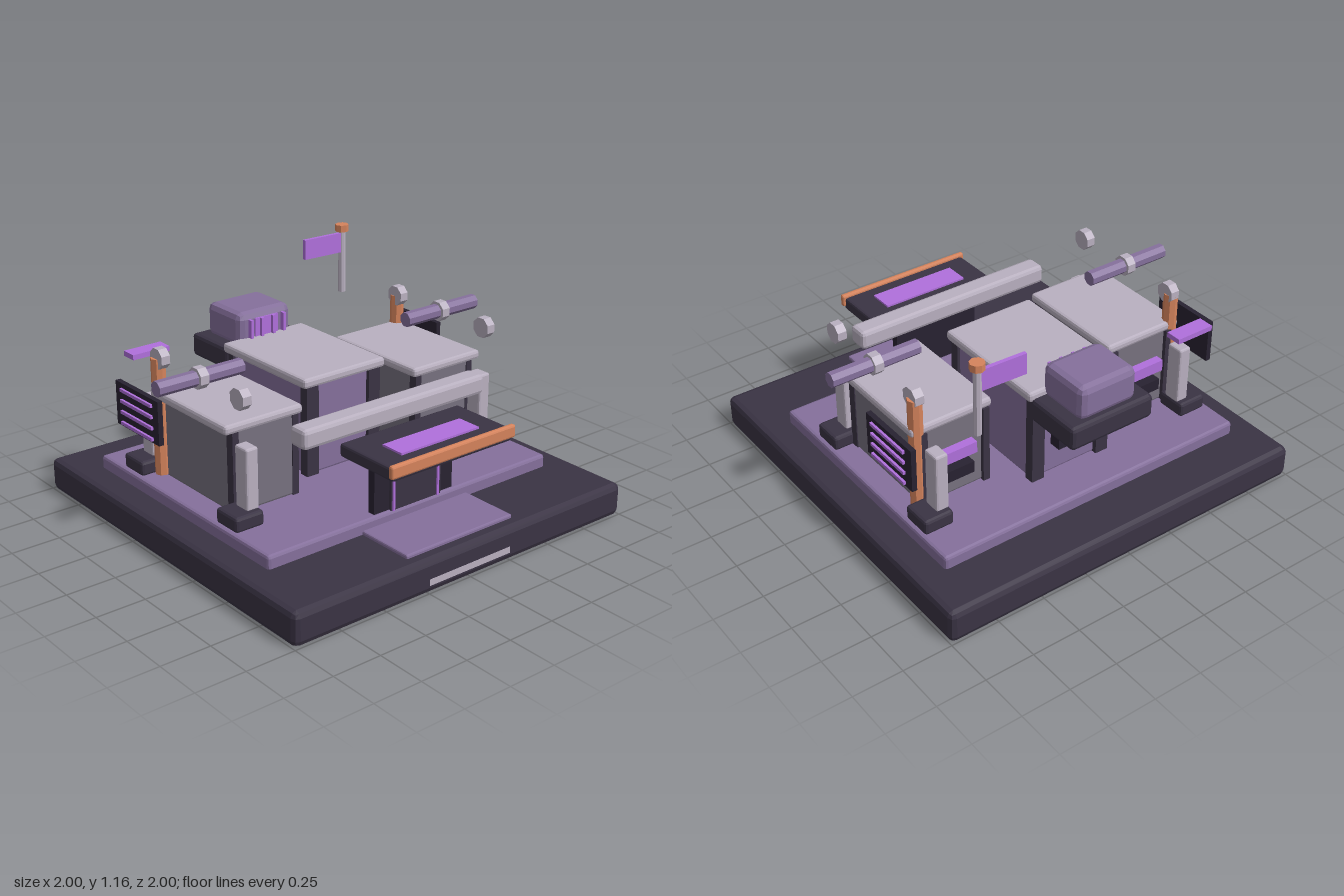
import * as THREE from 'three';
import { RoundedBoxGeometry } from 'three/addons/geometries/RoundedBoxGeometry.js';

const material = (color) => new THREE.MeshStandardMaterial({ color, flatShading: true });
const DARK = material(0x3a3344), BLACK = material(0x282231), PURPLE = material(0x85709c);
const LIGHT = material(0xb9b0c0), GREY = material(0x77717f);
const ORANGE = material(0xd5835c), GLOW = material(0xb070dc);

// Box given by its extents on each axis, with an optional bevel
function box(parent, name, mat, [x0, x1], [y0, y1], [z0, z1], bevel = 0) {
  const w = x1 - x0, h = y1 - y0, d = z1 - z0;
  const geo = bevel ? new RoundedBoxGeometry(w, h, d, 1, bevel) : new THREE.BoxGeometry(w, h, d);
  const mesh = new THREE.Mesh(geo, mat);
  mesh.name = name;
  mesh.position.set((x0 + x1) / 2, (y0 + y1) / 2, (z0 + z1) / 2);
  parent.add(mesh);
  return mesh;
}

// Upright cylinder, or one lying along x
function rod(parent, name, mat, radius, length, [x, y, z], alongX = false, sides = 8) {
  const mesh = new THREE.Mesh(new THREE.CylinderGeometry(radius, radius, length, sides), mat);
  mesh.name = name;
  mesh.position.set(x, y, z);
  if (alongX) mesh.rotation.set(Math.PI / 8, 0, Math.PI / 2);
  parent.add(mesh);
  return mesh;
}

function group(parent, name) {
  const g = new THREE.Group();
  g.name = name;
  parent.add(g);
  return g;
}

// One side wing, built on +x (s = 1) or mirrored to -x (s = -1)
function addWing(parent, s) {
  const g = group(parent, s > 0 ? 'leftWing' : 'rightWing');
  const span = (a, b) => (s > 0 ? [a, b] : [-b, -a]);

  box(g, 'wingBody', GREY, span(0.38, 0.73), [0.23, 0.65], [-0.38, 0.205], 0.012);
  box(g, 'wingRoof', LIGHT, span(0.342, 0.78), [0.635, 0.682], [-0.393, 0.22], 0.015);
  for (const z of [-0.38, 0.185])
    for (const x of [0.362, 0.7])
      box(g, 'wingCornerPost', DARK, span(x, x + 0.035), [0.23, 0.64], [z - 0.02, z + 0.025]);
  box(g, 'wingRearLight', GLOW, span(0.45, 0.665), [0.44, 0.5], [-0.425, -0.38]);
  box(g, 'wingRearVent', BLACK, span(0.47, 0.645), [0.34, 0.4], [-0.43, -0.38]);

  // Corner pylons on wide feet
  for (const z of [-0.485, 0.285]) {
    box(g, 'pylonFoot', DARK, span(0.678, 0.833), [0.225, 0.302], [z - 0.08, z + 0.08], 0.015);
    box(g, 'pylon', LIGHT, span(0.68, 0.747), [0.295, 0.6], [z - 0.045, z + 0.045], 0.01);
  }

  // Orange mast, pipe and collars
  rod(g, 'mast', ORANGE, 0.036, 0.59, [s * 0.742, 0.535, -0.368]);
  rod(g, 'pipe', PURPLE, 0.038, 0.465, [s * 0.737, 0.832, -0.035], true);
  for (const z of [-0.355, -0.035, 0.285])
    rod(g, 'collar', LIGHT, 0.053, 0.047, [s * 0.737, 0.832, z], true);

  // Outer vent panel with lit slats
  box(g, 'ventPanel', BLACK, span(0.85, 0.876), [0.48, 0.7], [-0.535, -0.175]);
  for (let i = 0; i < 4; i++) {
    const y = 0.5 + i * 0.056;
    box(g, 'ventSlat', GLOW, span(0.87, 0.888), [y - 0.008, y + 0.008], [-0.485, -0.22]);
  }
}

export function createModel() {
  const model = new THREE.Group();
  model.name = 'outpost';

  // Ground slabs
  const ground = group(model, 'ground');
  box(ground, 'baseSlab', DARK, [-1, 1], [0, 0.168], [-1, 1], 0.03);
  box(ground, 'floorPlate', PURPLE, [-0.855, 0.852], [0.15, 0.232], [-0.745, 0.628], 0.015);
  box(ground, 'doorMat', PURPLE, [-0.325, 0.322], [0.15, 0.186], [0.6, 0.93], 0.008);
  box(ground, 'frontStrip', LIGHT, [-0.25, 0.245], [0.04, 0.072], [0.97, 1.0015]);

  // Central hall
  const hall = group(model, 'hall');
  box(hall, 'hallBody', PURPLE, [-0.21, 0.21], [0.23, 0.7], [-0.52, 0.08], 0.012);
  box(hall, 'hallRoof', LIGHT, [-0.25, 0.245], [0.69, 0.74], [-0.545, 0.115], 0.015);
  for (const s of [-1, 1])
    for (const z of [-0.52, 0.075])
      box(hall, 'hallPost', DARK, [s * 0.19 - 0.035, s * 0.19 + 0.035], [0.23, 0.69], [z - 0.025, z + 0.025]);
  box(hall, 'rearLight', GLOW, [-0.12, 0.12], [0.5, 0.57], [-0.578, -0.51]);
  box(hall, 'rearVent', BLACK, [-0.1, 0.1], [0.39, 0.45], [-0.582, -0.51]);

  // Rear lookout with lit window bars
  const lookout = group(model, 'lookout');
  box(lookout, 'lookoutBase', DARK, [-0.235, 0.23], [0.588, 0.708], [-0.837, -0.53], 0.02);
  box(lookout, 'lookoutCabin', PURPLE, [-0.163, 0.158], [0.69, 0.87], [-0.802, -0.52], 0.035);
  box(lookout, 'window', GLOW, [-0.07, 0.07], [0.735, 0.835], [-0.53, -0.512]);
  for (const x of [-0.1, -0.035, 0.035, 0.1])
    box(lookout, 'windowBar', GLOW, [x - 0.008, x + 0.008], [0.73, 0.835], [-0.53, -0.495]);

  // Entrance: door, canopy and beam
  const entrance = group(model, 'entrance');
  box(entrance, 'doorFrame', BLACK, [-0.24, 0.24], [0.23, 0.47], [0.567, 0.607]);
  box(entrance, 'door', DARK, [-0.15, 0.155], [0.23, 0.412], [0.6, 0.622]);
  for (const x of [-0.138, 0.133])
    box(entrance, 'doorLight', GLOW, [x - 0.006, x + 0.006], [0.23, 0.405], [0.61, 0.63]);
  box(entrance, 'canopy', DARK, [-0.362, 0.358], [0.525, 0.59], [0.508, 0.87], 0.012);
  box(entrance, 'canopyPanel', GLOW, [-0.236, 0.232], [0.58, 0.6], [0.655, 0.783]);
  box(entrance, 'canopyTrim', ORANGE, [-0.376, 0.372], [0.543, 0.607], [0.853, 0.882], 0.01);
  box(entrance, 'beam', LIGHT, [-0.55, 0.545], [0.592, 0.69], [0.386, 0.495], 0.02);

  addWing(model, 1);
  addWing(model, -1);

  // Floating light plate and flag
  box(model, 'lightPlate', GLOW, [-0.752, -0.545], [0.758, 0.784], [-0.652, -0.57]);
  const flag = group(model, 'flag');
  rod(flag, 'flagPole', LIGHT, 0.019, 0.34, [0.636, 0.957, -0.694]);
  rod(flag, 'flagCap', ORANGE, 0.036, 0.036, [0.636, 1.138, -0.694]);
  box(flag, 'flagCloth', GLOW, [0.39, 0.628], [1.007, 1.112], [-0.708, -0.688]).rotation.y = -0.04;

  return model;
}
